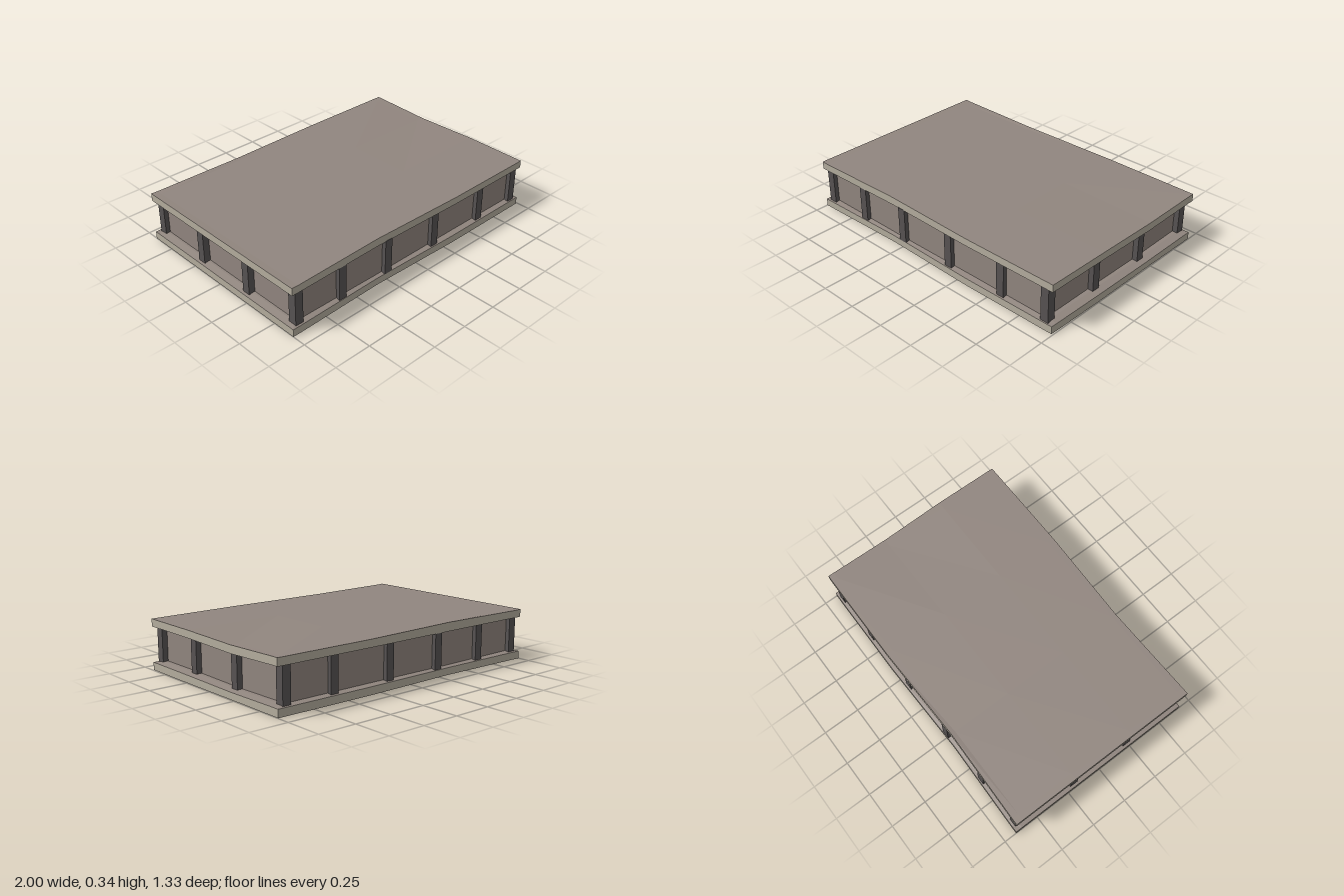
import * as THREE from 'three';

const mat = (name, color) => {
  const m = new THREE.MeshStandardMaterial({ color });
  m.name = name;
  return m;
};

export function createModel() {
  const group = new THREE.Group();
  group.name = 'pavilionBlock';
  const wallMat = mat('warmGrey', 0x91867f);
  const trimMat = mat('paleStone', 0xb4ad9e);
  const postMat = mat('darkGrey', 0x575353);

  const add = (name, geometry, material, x = 0, y = 0, z = 0) => {
    const mesh = new THREE.Mesh(geometry, material);
    mesh.name = name;
    mesh.position.set(x, y, z);
    group.add(mesh);
    return mesh;
  };

  // Slightly warped slab: pale rim, grey faces, and a shallow slope on the wall-facing side
  const gridX = [-1, -0.955, -0.33, 0.33, 0.945, 1];
  const gridZ = [-0.665, -0.62, -0.22, 0.22, 0.615, 0.66];
  const pull = [0, 0, 0.016, 0, 0.004, 0.005];
  const slab = (name, yLow, yHigh, innerSide, lowSag, highSag) => {
    const geo = new THREE.BoxGeometry(5, 2, 5, 5, 1, 5);
    const p = geo.attributes.position;
    for (let n = 0; n < p.count; n++) {
      const i = Math.round(p.getX(n) + 2.5);
      const k = Math.round(p.getZ(n) + 2.5);
      const side = Math.sign(p.getY(n));
      const rim = i === 0 || i === 5 || k === 0 || k === 5;
      const sag = side > 0 ? highSag : lowSag;
      let y = (side > 0 ? yHigh : yLow) + sag(i, k);
      if (!rim && side === innerSide) y += innerSide * 0.008;
      const x = gridX[i] - (i === 5 ? [0.002, 0.003, 0.006, 0.004, 0.009, 0.01][k] : 0);
      const z = gridZ[k] - Math.sign(gridZ[k]) * (k === 0 || k === 5 ? pull[i] : 0);
      p.setXYZ(n, x, y, z);
    }
    const flat = geo.toNonIndexed();
    flat.computeVertexNormals();
    add(name, flat, [trimMat, trimMat, wallMat, wallMat, trimMat, trimMat]);
  };

  // Gentle dip on the +x edge and a small rise along the back
  const roofSag = (i, k) =>
    (i >= 4 && k === 2 ? -0.01 : 0) + (i === 2 && k === 0 ? 0.004 : 0) + (i === 0 ? 0.002 : 0);
  const roofUnder = (i, k) =>
    (i >= 4 && k === 2 ? -0.012 : 0) + (i === 2 ? -0.004 : 0);
  const floorTop = (i, k) => (i >= 4 && k === 2 ? -0.006 : 0) + (i === 2 ? -0.003 : 0);
  slab('baseSlab', 0, 0.05, 1, () => 0, floorTop);
  slab('roofSlab', 0.282, 0.331, -1, roofUnder, roofSag);

  // Recessed wall block
  add('walls', new THREE.BoxGeometry(1.86, 0.24, 1.24), wallMat, -0.01, 0.165, 0);

  // Posts, standing proud of the walls
  const post = (x, z, w, d) =>
    add('post', new THREE.BoxGeometry(w, 0.236, d), postMat, x, 0.165, z);
  for (const s of [-1, 1]) {
    for (const x of [-0.612, -0.242, 0.165, 0.592]) post(x, s * 0.628, 0.055, 0.04);
    for (const z of [-0.197, 0.228]) post(s > 0 ? 0.933 : -0.96, z, 0.045, 0.055);
    for (const x of [-0.942, 0.928]) post(x, s * 0.62, 0.056, 0.056);
  }
  return group;
}
